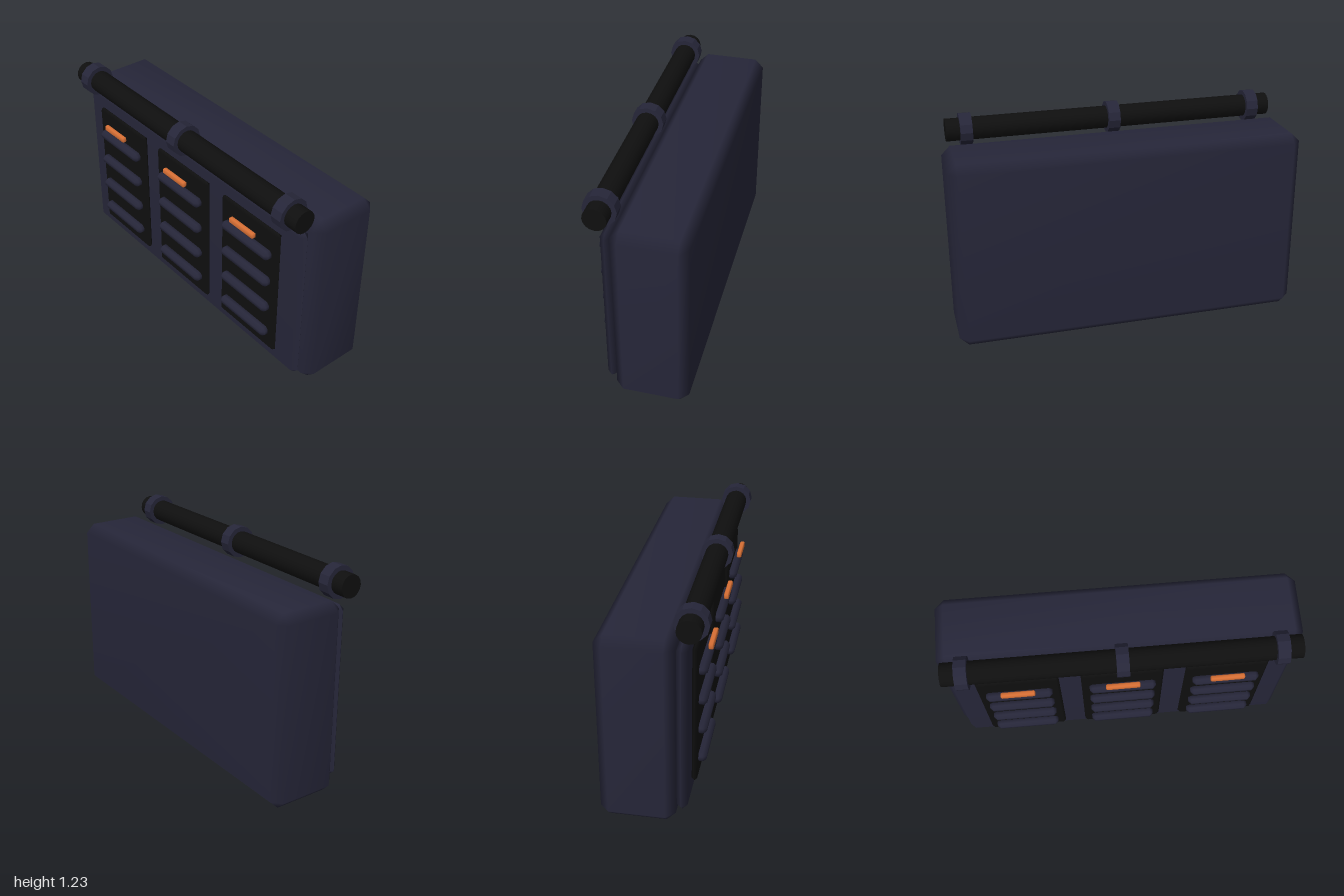
import * as THREE from 'three';
import { mergeVertices } from 'three/addons/utils/BufferGeometryUtils.js';
import { ConvexGeometry } from 'three/addons/geometries/ConvexGeometry.js';

const navy = new THREE.MeshStandardMaterial({ color: 0x262639 });
const black = new THREE.MeshStandardMaterial({ color: 0x0f0f0f });
const orange = new THREE.MeshStandardMaterial({ color: 0xd97035 });
navy.name = 'navy';
black.name = 'black';
orange.name = 'orange';

// Box with one-step 45 degree chamfers and softly blended normals
function chamferBox(w, h, d, c) {
  const points = [];
  for (const x of [-1, 1]) for (const y of [-1, 1]) for (const z of [-1, 1]) {
    for (let axis = 0; axis < 3; axis++) {
      points.push(new THREE.Vector3(
        x * (w / 2 - (axis === 0 ? 0 : c)),
        y * (h / 2 - (axis === 1 ? 0 : c)),
        z * (d / 2 - (axis === 2 ? 0 : c))
      ));
    }
  }
  const faceted = new ConvexGeometry(points);
  faceted.deleteAttribute('normal');
  const geometry = mergeVertices(faceted, 1e-5);
  geometry.computeVertexNormals();
  return geometry;
}

// Cylinder lying along x
function rod(radius, length, sides) {
  return new THREE.CylinderGeometry(radius, radius, length, sides).rotateZ(Math.PI / 2);
}

export function createModel() {
  const model = new THREE.Group();
  model.name = 'ventedUnit';

  function add(name, geometry, material, x, y, z) {
    const mesh = new THREE.Mesh(geometry, material);
    mesh.name = name;
    mesh.position.set(x, y, z);
    model.add(mesh);
  }

  // Main casing and raised front plate
  add('casing', chamferBox(2, 1.09, 0.406, 0.05), navy, 0, 0.545, -0.078);
  add('frontPlate', chamferBox(1.9, 0.985, 0.058, 0.0285), navy, 0, 0.553, 0.154);

  // Three vent bays, each with four slats and an indicator strip
  const bay = chamferBox(0.458, 0.815, 0.03, 0.0145);
  const slat = chamferBox(0.37, 0.057, 0.057, 0.018);
  const strip = chamferBox(0.19, 0.032, 0.028, 0.006);
  for (const x of [-0.578, 0, 0.578]) {
    add('ventBay', bay, black, x, 0.563, 0.197);
    for (let i = 0; i < 4; i++) add('ventSlat', slat, navy, x, 0.278 + i * 0.179, 0.226);
    add('indicatorStrip', strip, orange, x, 0.911, 0.258);
  }

  // Top rail with three faceted collars
  add('rail', rod(0.064, 1.92, 16), black, 0, 1.142, 0.193);
  const collar = rod(0.091, 0.068, 12).toNonIndexed();
  collar.computeVertexNormals();
  for (const x of [-0.848, 0, 0.848]) add('railCollar', collar, navy, x, 1.142, 0.193);

  return model;
}
